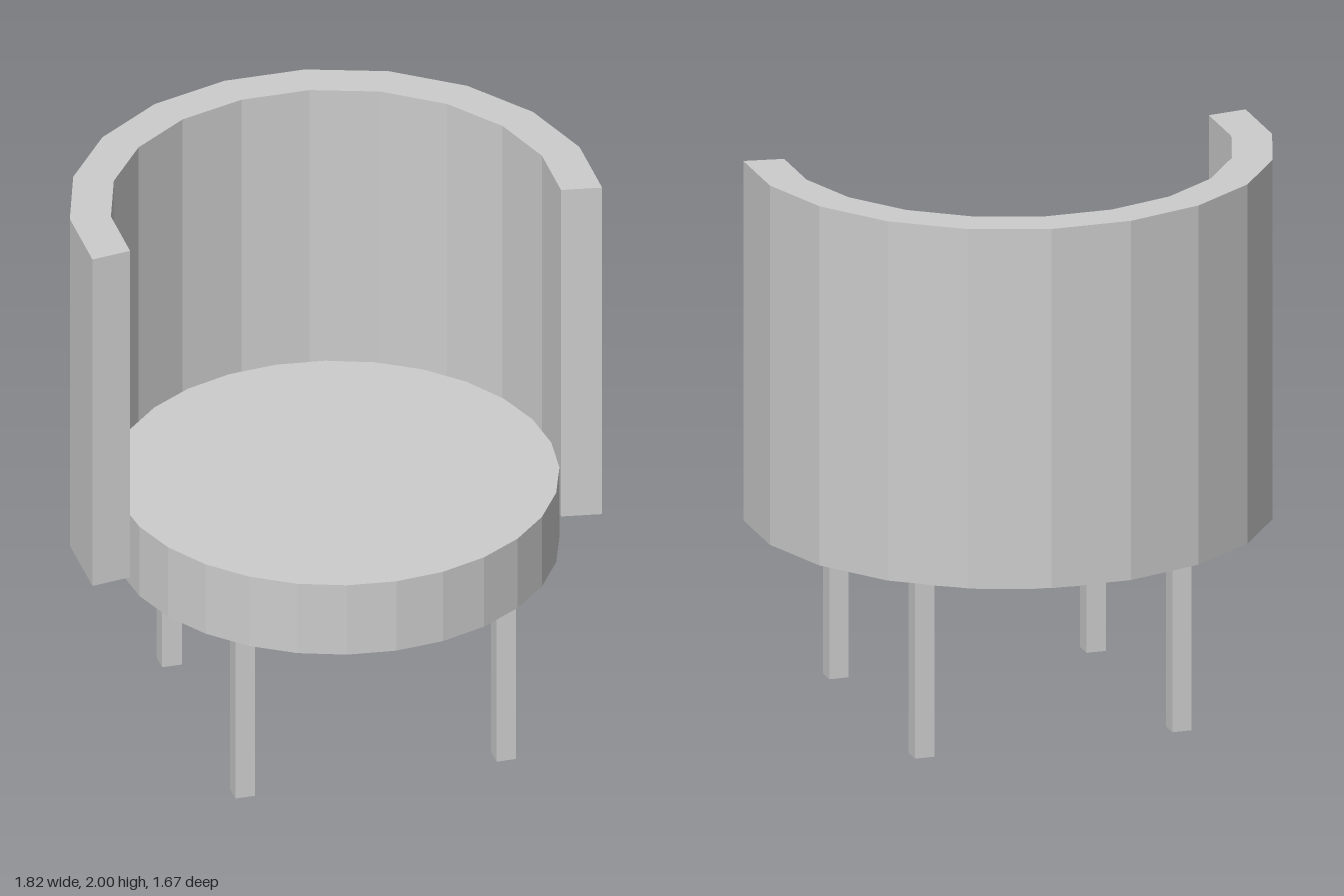
import * as THREE from 'three';

const CENTRE_Z = 0.07; // shared axis of the seat and backrest

export function createModel() {
  const group = new THREE.Group();
  group.name = 'tubChair';
  const grey = new THREE.MeshStandardMaterial({ color: 0xcccccc, flatShading: true });
  grey.name = 'grey';

  const add = (name, geometry, x, y, z) => {
    const mesh = new THREE.Mesh(geometry, grey);
    mesh.name = name;
    mesh.position.set(x, y, z);
    group.add(mesh);
  };

  // Round seat cushion
  add('seat', new THREE.CylinderGeometry(0.767, 0.767, 0.275, 28), 0, 0.7925, CENTRE_Z);

  // Faceted wrap-around backrest: eleven sides of a twenty-sided ring
  const arc = (radius) => Array.from({ length: 12 }, (_, i) => {
    const a = THREE.MathUtils.degToRad(-9 + i * 18);
    return new THREE.Vector2(Math.cos(a) * radius, Math.sin(a) * radius);
  });
  const ring = new THREE.Shape([...arc(0.919), ...arc(0.777).reverse()]);
  const back = new THREE.ExtrudeGeometry(ring, { depth: 1.295, bevelEnabled: false });
  back.rotateX(-Math.PI / 2);
  add('backrest', back, 0, 0.705, CENTRE_Z);

  // Four square legs
  const leg = new THREE.BoxGeometry(0.07, 0.66, 0.07);
  for (const [side, x] of [['Left', 0.465], ['Right', -0.465]]) {
    add('front' + side + 'Leg', leg, x, 0.33, 0.54);
    add('back' + side + 'Leg', leg, x, 0.33, -0.39);
  }
  return group;
}
